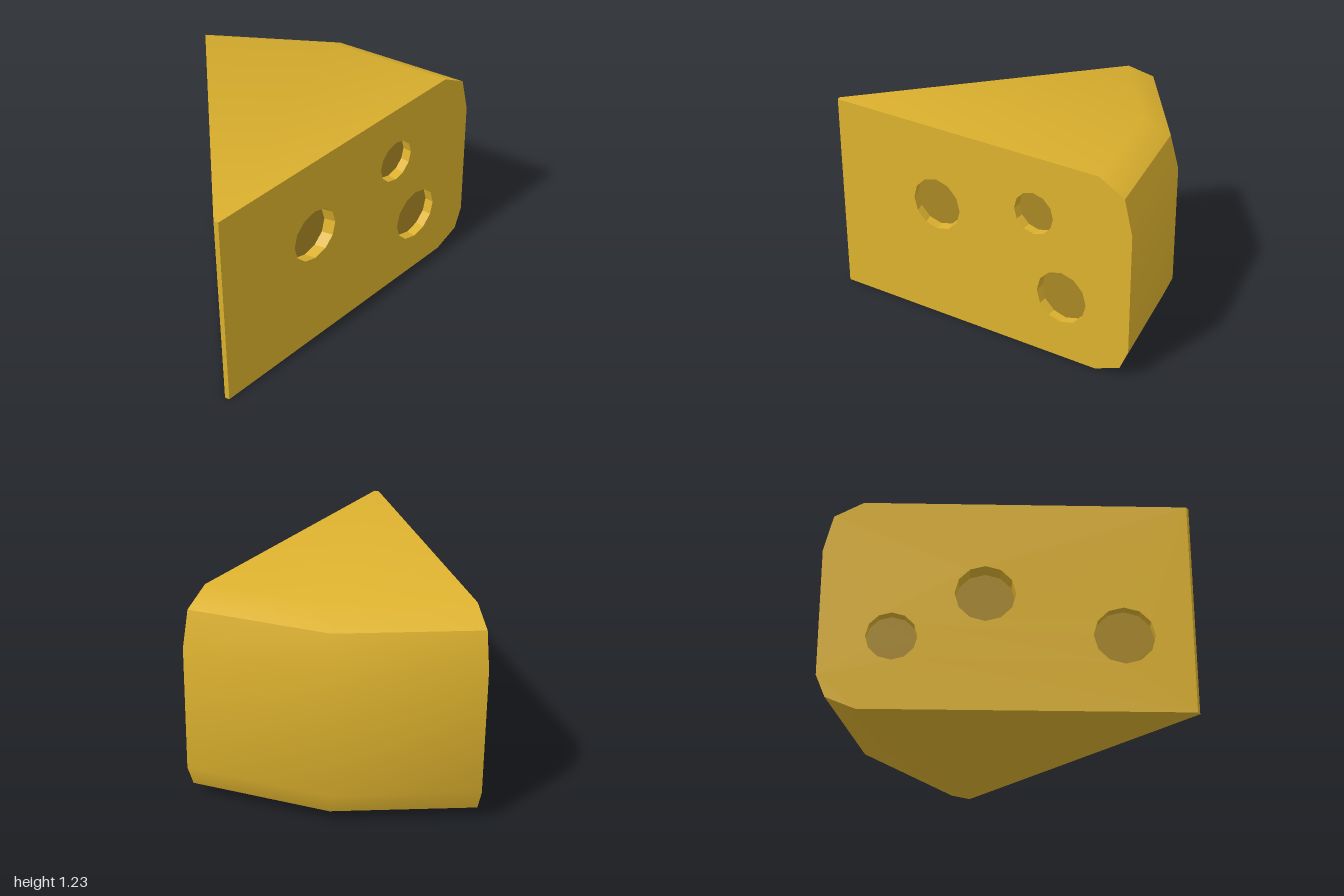
import * as THREE from 'three';
import { toCreasedNormals } from 'three/addons/utils/BufferGeometryUtils.js';

const V = (x, y, z) => new THREE.Vector3(x, y, z);

// Polygons (counter-clockwise corner lists) to a triangle-soup geometry
function polygons(list) {
  const pos = [];
  for (const p of list) {
    for (let i = 1; i < p.length - 1; i++) {
      for (const v of [p[0], p[i], p[i + 1]]) pos.push(v.x, v.y, v.z);
    }
  }
  const g = new THREE.BufferGeometry();
  g.setAttribute('position', new THREE.Float32BufferAttribute(pos, 3));
  g.computeVertexNormals();
  return g;
}

// Plan corners: blunt tip (left and front side) and the three rind corners
const tipL = V(-0.75, 0, 0.985), tipF = V(-0.727, 0, 1), tipM = V(-0.74, 0, 0.995);
const backCorner = V(-0.75, 0, -1), midCorner = V(0.07, 0, -0.83), rightCorner = V(0.75, 0, -0.33);

// Rind profile: height and distance scale from the tip
const profile = [[0, 0.893], [0.065, 0.974], [0.19, 1], [0.93, 1], [1.14, 0.974], [1.23, 0.893]];
const H = 1.23;
const column = (tip, corner) => profile.map(([y, s]) => tip.clone().lerp(corner, s).setY(y));
const A = column(tipL, backCorner), B = column(tipM, midCorner), C = column(tipF, rightCorner);
const at = (p, y) => p.clone().setY(y);

export function createModel() {
  const model = new THREE.Group();
  const cheese = new THREE.MeshStandardMaterial({ color: 0xdcb12e });
  cheese.name = 'cheese yellow';
  const shade = new THREE.MeshStandardMaterial({ color: 0xa88724 });
  shade.name = 'hole floor ochre';

  const add = (parent, name, geometry, material) => {
    const m = new THREE.Mesh(geometry, material);
    m.name = name;
    parent.add(m);
  };

  // Rounded rind with the top and bottom
  const shell = [
    [at(tipL, H), at(tipF, H), C[5], B[5], A[5]],
    [A[0], B[0], C[0], at(tipF, 0), at(tipL, 0)],
  ];
  for (let i = 0; i < 5; i++) {
    shell.push([B[i], A[i], A[i + 1], B[i + 1]], [C[i], B[i], B[i + 1], C[i + 1]]);
  }
  add(model, 'rind', toCreasedNormals(polygons(shell), 0.65), cheese);

  // Narrow blunt tip
  add(model, 'tip', polygons([[at(tipL, 0), at(tipF, 0), at(tipF, H), at(tipL, H)]]), cheese);

  // Cut face with sunken round holes: [distance from start, height, radius, depth, sideways lean]
  function cutFace(name, start, end, outline, holes) {
    const group = new THREE.Group();
    group.name = name;
    const u = end.clone().sub(start).normalize();
    const n = V(-u.z, 0, u.x);
    group.applyMatrix4(new THREE.Matrix4().makeBasis(u, V(0, 1, 0), n).setPosition(start));

    const shape = new THREE.Shape(outline.map(p => new THREE.Vector2(p.clone().sub(start).dot(u), p.y)));
    const walls = [], floors = [];
    for (const [cx, cy, r, depth, lean = 0] of holes) {
      const rim = [], base = [];
      for (let i = 0; i < 12; i++) {
        const a = i * Math.PI / 6;
        const p = V(cx + r * Math.cos(a), cy + r * Math.sin(a), 0);
        rim.push(p);
        base.push(p.clone().add(V(lean, 0, -depth)));
      }
      shape.holes.push(new THREE.Path(rim.map(p => new THREE.Vector2(p.x, p.y)).reverse()));
      rim.forEach((p, i) => {
        const j = (i + 1) % 12;
        walls.push([p, rim[j], base[j], base[i]]);
      });
      floors.push(base);
    }
    add(group, name + 'Surface', new THREE.ShapeGeometry(shape), cheese);
    add(group, name + 'HoleWalls', polygons(walls), cheese);
    add(group, name + 'HoleFloors', polygons(floors), shade);
    model.add(group);
  }

  cutFace('frontCut', tipF, rightCorner, [at(tipF, 0), ...C, at(tipF, H)], [
    [0.695, 0.74, 0.161, 0.064, -0.02],
    [1.36, 0.88, 0.128, 0.055],
    [1.545, 0.395, 0.162, 0.056],
  ]);
  cutFace('sideCut', backCorner, tipL, [at(tipL, 0), at(tipL, H), ...[...A].reverse()], [
    [0.88, 0.68, 0.165, 0.1],
    [1.62, 0.44, 0.165, 0.055],
    [0.385, 0.42, 0.138, 0.055],
  ]);

  return model;
}
